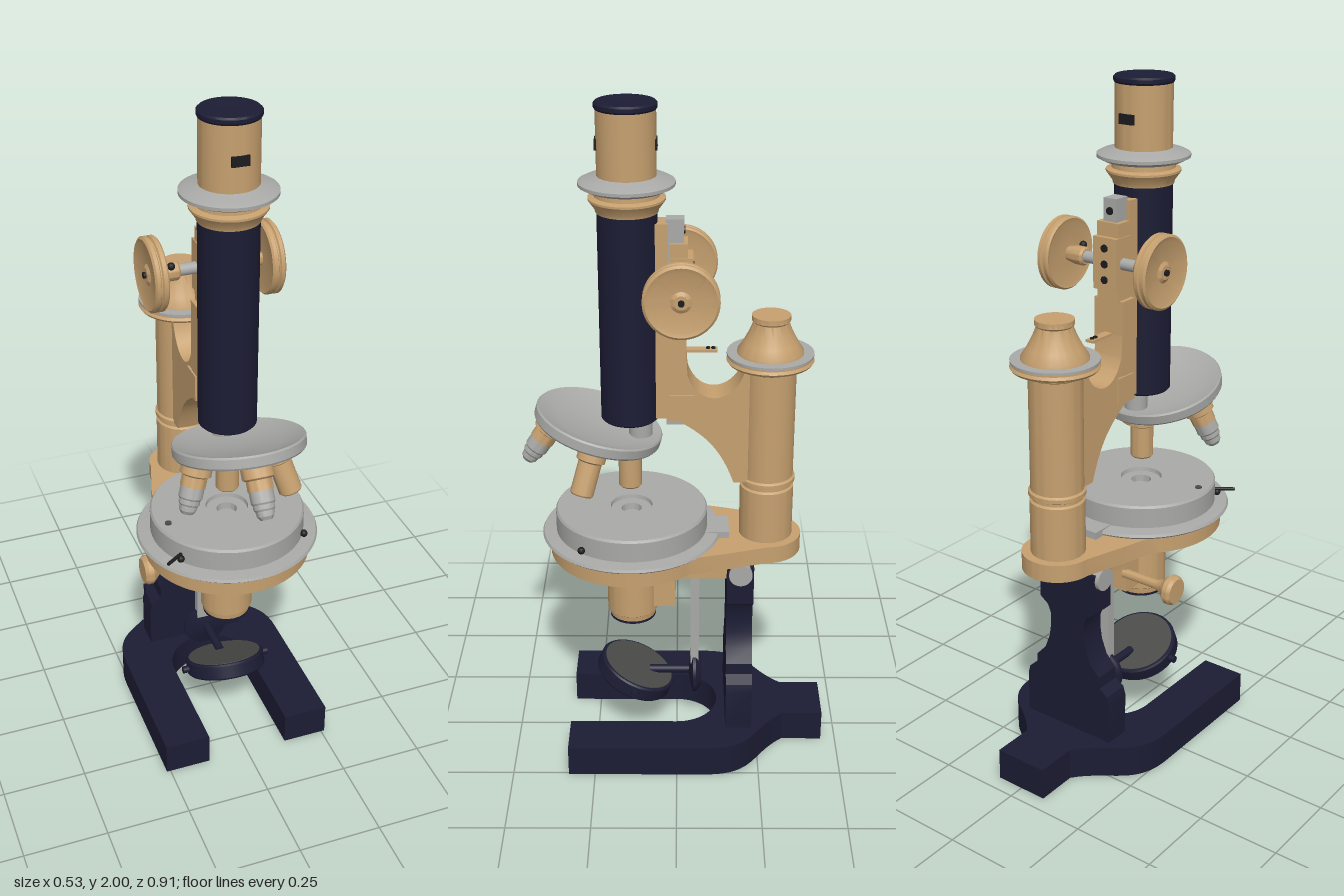
import * as THREE from 'three';
import { toCreasedNormals } from 'three/addons/utils/BufferGeometryUtils.js';

const material = (name, color) => {
  const m = new THREE.MeshStandardMaterial({ color });
  m.name = name;
  return m;
};

export function createModel() {
  const navy = material('navy enamel', 0x1c1c34);
  const brass = material('brass', 0xc6a06f);
  const steel = material('steel', 0xa9a9a7);
  const glass = material('mirror grey', 0x4a4a48);
  const black = material('black screw', 0x1c1c1e);
  const felt = material('pale felt', 0xc4c0b4);
  const model = new THREE.Group();
  const OPT = 0.135; // z of the optical axis
  const COL = -0.265; // z of the rear column

  const add = (name, geo, mat, x = 0, y = 0, z = 0, parent = model) => {
    const mesh = new THREE.Mesh(geo, mat);
    mesh.name = name;
    mesh.position.set(x, y, z);
    parent.add(mesh);
    return mesh;
  };
  const box = (name, mat, x0, x1, y0, y1, z0, z1) =>
    add(name, new THREE.BoxGeometry(x1 - x0, y1 - y0, z1 - z0), mat,
      (x0 + x1) / 2, (y0 + y1) / 2, (z0 + z1) / 2);
  const turned = (pts, seg = 56) => toCreasedNormals(
    new THREE.LatheGeometry(pts.map(([r, y]) => new THREE.Vector2(r, y)), seg), 0.5);
  const rod = (r, len, seg = 24) => new THREE.CylinderGeometry(r, r, len, seg);
  const rodX = (r, len, seg) => rod(r, len, seg).rotateZ(Math.PI / 2);
  const rodZ = (r, len, seg) => rod(r, len, seg).rotateX(Math.PI / 2);
  const extrude = (shape, depth) => toCreasedNormals(
    new THREE.ExtrudeGeometry(shape, { depth, bevelEnabled: false, curveSegments: 24 }), 0.5);
  // plan outline (x, z) extruded down from the given top
  const slab = (shape, depth) => extrude(shape, depth).rotateX(Math.PI / 2);

  // Horseshoe foot
  const foot = new THREE.Shape();
  foot.moveTo(0.26, 0.33);
  foot.lineTo(0.125, 0.33);
  foot.lineTo(0.125, 0);
  foot.absarc(0, 0, 0.125, 0, Math.PI, true);
  foot.lineTo(-0.125, 0.33);
  foot.lineTo(-0.262, 0.33);
  foot.lineTo(-0.262, -0.09);
  foot.bezierCurveTo(-0.26, -0.24, -0.16, -0.23, -0.085, -0.33);
  foot.lineTo(-0.085, -0.455);
  foot.lineTo(0.082, -0.455);
  foot.lineTo(0.082, -0.33);
  foot.bezierCurveTo(0.16, -0.23, 0.26, -0.24, 0.26, -0.09);
  add('foot', slab(foot, 0.098), navy, 0, 0.1, 0);
  for (const s of [-1, 1]) {
    box('footPad', felt, s * 0.19 - 0.05, s * 0.19 + 0.05, 0, 0.004, 0.18, 0.31);
    box('footPad', felt, s * 0.18 - 0.045, s * 0.18 + 0.045, 0, 0.004, -0.16, -0.04);
  }
  box('footPad', felt, -0.055, 0.055, 0, 0.004, -0.43, -0.33);

  // Pillar, mirrored half outline
  const half = [[0.155, 0.1], [0.155, 0.23], [0.148, 0.255], [0.12, 0.275], [0.117, 0.31],
    [0.085, 0.345], [0.068, 0.39], [0.062, 0.43], [0.062, 0.47], [0.072, 0.495],
    [0.1, 0.515], [0.1, 0.64]];
  const outline = [...half, ...half.map(([x, y]) => [-x, y]).reverse()];
  add('pillar', extrude(new THREE.Shape(outline.map(p => new THREE.Vector2(...p))), 0.08),
    navy, 0, 0, -0.23);
  add('tiltPivot', rodX(0.035, 0.225), steel, 0, 0.62, -0.19);
  box('pivotBlock', brass, -0.06, 0.06, 0.58, 0.662, -0.225, -0.02);

  // Tilted mirror and its hanger
  box('mirrorHanger', steel, -0.03, 0.03, 0.25, 0.65, -0.068, -0.042);
  add('hangerFoot', turned([[0, -0.02], [0.05, -0.02], [0.07, -0.005], [0.07, 0.005], [0.03, 0.015], [0, 0.02]])
    .rotateX(Math.PI / 2), navy, 0, 0.21, -0.055);
  add('mirrorRod', rodZ(0.013, 0.13), navy, 0, 0.212, 0.02);
  const mirror = new THREE.Group();
  mirror.name = 'mirror';
  mirror.position.set(0, 0.206, 0.13);
  mirror.rotation.x = -0.42;
  model.add(mirror);
  add('mirrorFrame', turned([[0, -0.024], [0.118, -0.024], [0.122, -0.019], [0.122, 0.019], [0.118, 0.024], [0, 0.024]]),
    navy, 0, 0, 0, mirror);
  for (const s of [-1, 1]) add('mirrorGlass', rod(0.112, 0.003, 48), glass, 0, s * 0.0245, 0, mirror);
  add('mirrorPins', rodX(0.011, 0.28), navy, 0, 0, 0, mirror);

  // Stage support plate with a tapering tail rounded behind the column
  const plate = new THREE.Shape();
  plate.absarc(0, OPT, 0.243, -0.8, Math.PI + 0.8, false);
  plate.lineTo(-0.142, -0.145);
  plate.lineTo(-0.105, COL);
  plate.absarc(0, COL, 0.105, Math.PI, Math.PI * 2, false);
  plate.lineTo(0.142, -0.145);
  add('stagePlate', slab(plate, 0.053), brass, 0, 0.714, 0);
  add('stage', turned([[0, 0.715], [0.258, 0.715], [0.266, 0.722], [0.262, 0.73], [0.225, 0.734],
    [0.225, 0.795], [0.22, 0.802], [0.062, 0.802], [0.06, 0.79], [0.03, 0.79], [0.028, 0.77], [0, 0.77]], 72),
    steel, 0, 0, OPT);
  box('stageClamp', steel, -0.05, 0.05, 0.714, 0.736, -0.155, -0.02);
  add('stagePin', rodX(0.005, 0.06, 10), black, -0.21, 0.762, 0.28).rotation.y = 0.6;
  add('stageScrew', new THREE.SphereGeometry(0.011, 12, 8), black, -0.188, 0.75, 0.27);
  add('stageScrew', new THREE.SphereGeometry(0.011, 12, 8), black, 0.186, 0.75, 0.275);
  add('stageStud', rod(0.01, 0.006, 12), glass, -0.19, 0.803, 0.165);

  // Condenser under the stage with its focusing knob
  add('condenser', turned([[0, 0.432], [0.07, 0.432], [0.072, 0.448], [0.077, 0.452], [0.077, 0.625],
    [0.062, 0.632], [0.062, 0.665]]), brass, 0, 0, OPT);
  add('condenserLens', rod(0.07, 0.01, 40), navy, 0, 0.429, OPT);
  box('condenserSlide', brass, -0.04, 0.04, 0.47, 0.655, 0.005, 0.075);
  add('condenserKnob', turned([[0, -0.225], [0.038, -0.225], [0.045, -0.215], [0.045, -0.2], [0.038, -0.192],
    [0.022, -0.175], [0.014, -0.15], [0.014, -0.03]], 32).rotateZ(-Math.PI / 2), brass, 0, 0.53, 0.01);
  for (const s of [-1, 1]) add('condenserPost', rod(0.014, 0.045, 16), steel, s * 0.1, 0.642, 0.03);

  // Rear column with flange and tapered cap
  add('column', turned([[0, 0.7], [0.079, 0.7], [0.079, 0.875], [0.073, 0.88], [0.073, 0.888], [0.082, 0.893],
    [0.082, 0.905], [0.076, 0.91], [0.076, 1.245], [0.09, 1.252], [0.092, 1.262], [0.12, 1.265], [0.125, 1.272],
    [0.12, 1.28], [0.12, 1.288], [0, 1.288]]), brass, 0, 0, COL);
  add('columnFlangeFace', turned([[0.09, 1.286], [0.124, 1.286], [0.124, 1.293], [0.09, 1.293]]), steel, 0, 0, COL);
  add('columnCap', turned([[0, 1.285], [0.096, 1.285], [0.094, 1.3], [0.078, 1.325], [0.062, 1.355], [0.05, 1.385],
    [0.055, 1.39], [0.055, 1.405], [0, 1.405]]), brass, 0, 0, COL);

  // Curved arm, side profile in (z, y)
  const arm = new THREE.Shape();
  arm.moveTo(0, 1.1);
  arm.bezierCurveTo(-0.09, 1.05, -0.13, 1.0, -0.165, 0.9);
  arm.lineTo(-0.25, 0.9);
  arm.lineTo(-0.25, 1.245);
  arm.lineTo(-0.19, 1.245);
  arm.bezierCurveTo(-0.16, 1.15, -0.06, 1.14, -0.03, 1.24);
  arm.lineTo(-0.026, 1.32);
  arm.lineTo(0, 1.32);
  add('arm', extrude(arm, 0.096).translate(0, 0, -0.048).rotateY(-Math.PI / 2), brass);

  // Rack slide behind the body tube
  box('slideHousing', brass, -0.05, 0.05, 1.1, 1.4, -0.027, 0.03);
  box('slideSaddle', brass, -0.055, 0.055, 1.1, 1.18, -0.05, 0.02);
  box('slideBack', brass, -0.037, 0.037, 1.38, 1.62, -0.03, 0.02);
  box('slideGuide', brass, -0.035, 0.035, 1.1, 1.675, 0.025, 0.07);
  box('rack', steel, -0.022, 0.022, 1.075, 1.685, -0.02, 0.03);
  box('pinionBlock', brass, -0.04, 0.04, 1.43, 1.58, -0.045, 0.02);
  for (const y of [1.46, 1.505, 1.55]) add('slideScrew', rodZ(0.011, 0.006, 12), black, 0, y, -0.046);
  add('rackScrew', rodZ(0.011, 0.006, 12), black, 0, 1.65, -0.021);
  box('stopSpring', brass, -0.013, 0.013, 1.295, 1.303, -0.115, -0.02);
  for (const z of [-0.103, -0.088]) add('stopScrew', rod(0.006, 0.012, 12), black, 0, 1.301, z);

  // Coarse focus wheels
  add('focusAxle', rodX(0.017, 0.33), steel, 0, 1.505, -0.012);
  for (const s of [-1, 1]) {
    const knob = new THREE.Group();
    knob.name = 'focusKnob';
    knob.position.set(0, 1.505, -0.012);
    knob.rotation.z = -s * Math.PI / 2;
    model.add(knob);
    add('focusWheel', turned([[0, 0.15], [0.03, 0.15], [0.09, 0.15], [0.1, 0.147], [0.105, 0.152], [0.105, 0.163],
      [0.099, 0.166], [0.099, 0.169], [0.105, 0.172], [0.105, 0.182], [0.098, 0.187], [0.085, 0.182],
      [0.03, 0.178], [0.02, 0.184], [0, 0.184]]), brass, 0, 0, 0, knob);
    add('focusCollar', turned([[0, 0.09], [0.022, 0.09], [0.027, 0.096], [0.027, 0.12], [0.02, 0.155]], 28),
      brass, 0, 0, 0, knob);
    add('wheelScrew', rod(0.009, 0.01, 12), black, 0, 0.186, 0, knob);
    add('collarScrew', new THREE.SphereGeometry(0.011, 12, 8), black, s * 0.118, 1.53, 0.01);
  }

  // Body tube, collar, flange, draw tube and eyepiece
  add('bodyTube', turned([[0, 1.09], [0.078, 1.09], [0.083, 1.095], [0.083, 1.71], [0, 1.71]]), navy, 0, 0, OPT);
  add('tubeCollar', turned([[0.08, 1.703], [0.086, 1.703], [0.088, 1.712], [0.106, 1.737], [0.106, 1.743],
    [0.09, 1.748], [0.088, 1.772]]), brass, 0, 0, OPT);
  add('tubeFlange', turned([[0.08, 1.765], [0.112, 1.767], [0.132, 1.777], [0.132, 1.786], [0.118, 1.793],
    [0.095, 1.797], [0.08, 1.803]]), steel, 0, 0, OPT);
  add('drawTube', turned([[0.08, 1.79], [0.081, 1.79], [0.081, 1.983], [0, 1.983]]), brass, 0, 0, OPT);
  add('eyepiece', turned([[0, 1.98], [0.082, 1.98], [0.085, 1.985], [0.085, 1.995], [0.08, 2], [0.06, 2],
    [0.03, 1.996], [0, 1.995]]), navy, 0, 0, OPT);
  for (const s of [-1, 1]) box('drawTubeWindow', black, -0.024, 0.024, 1.874, 1.902,
    OPT + s * 0.08 - 0.004, OPT + s * 0.08 + 0.004);

  // Tilted revolving nosepiece
  add('nosepieceNeck', rod(0.034, 0.09, 32), steel, 0, 1.055, 0.105);
  const nose = new THREE.Group();
  nose.name = 'nosepiece';
  nose.position.set(0, 1.075, 0.225);
  nose.rotation.x = -0.28;
  model.add(nose);
  add('nosepieceDish', turned([[0, -0.048], [0.1, -0.044], [0.165, -0.03], [0.184, -0.024], [0.188, -0.018],
    [0.188, 0.008], [0.184, 0.013], [0.176, 0.01], [0.12, -0.008], [0, -0.014]]), steel, 0, 0, 0, nose);
  add('nosepieceHub', rod(0.03, 0.03), steel, 0, -0.05, 0, nose);

  // Four objectives splayed around the nosepiece axis: front, left, rear, right
  const plain = [[0, -0.15], [0.03, -0.15], [0.034, -0.145], [0.034, -0.05], [0.042, -0.045], [0.042, -0.005]];
  const short = [[0, -0.075], [0.036, -0.075], [0.036, -0.045], [0.045, -0.04], [0.045, -0.01]];
  const tip = [[0, -0.155], [0.016, -0.155], [0.024, -0.145], [0.026, -0.13], [0.03, -0.125], [0.03, -0.112],
    [0.034, -0.107], [0.034, -0.07]];
  [true, false, false, true].forEach((tipped, i) => {
    const turn = new THREE.Group();
    turn.name = 'objective';
    turn.rotation.y = i * Math.PI / 2;
    nose.add(turn);
    const lens = new THREE.Group();
    lens.position.set(0, -0.03, tipped ? 0.122 : 0.1);
    lens.rotation.x = tipped ? -0.32 : -0.28;
    turn.add(lens);
    add('objectiveBarrel', turned(tipped ? short : plain, 32), brass, 0, 0, 0, lens);
    if (tipped) add('objectiveTip', turned(tip, 32), steel, 0, 0, 0, lens);
  });
  return model;
}
